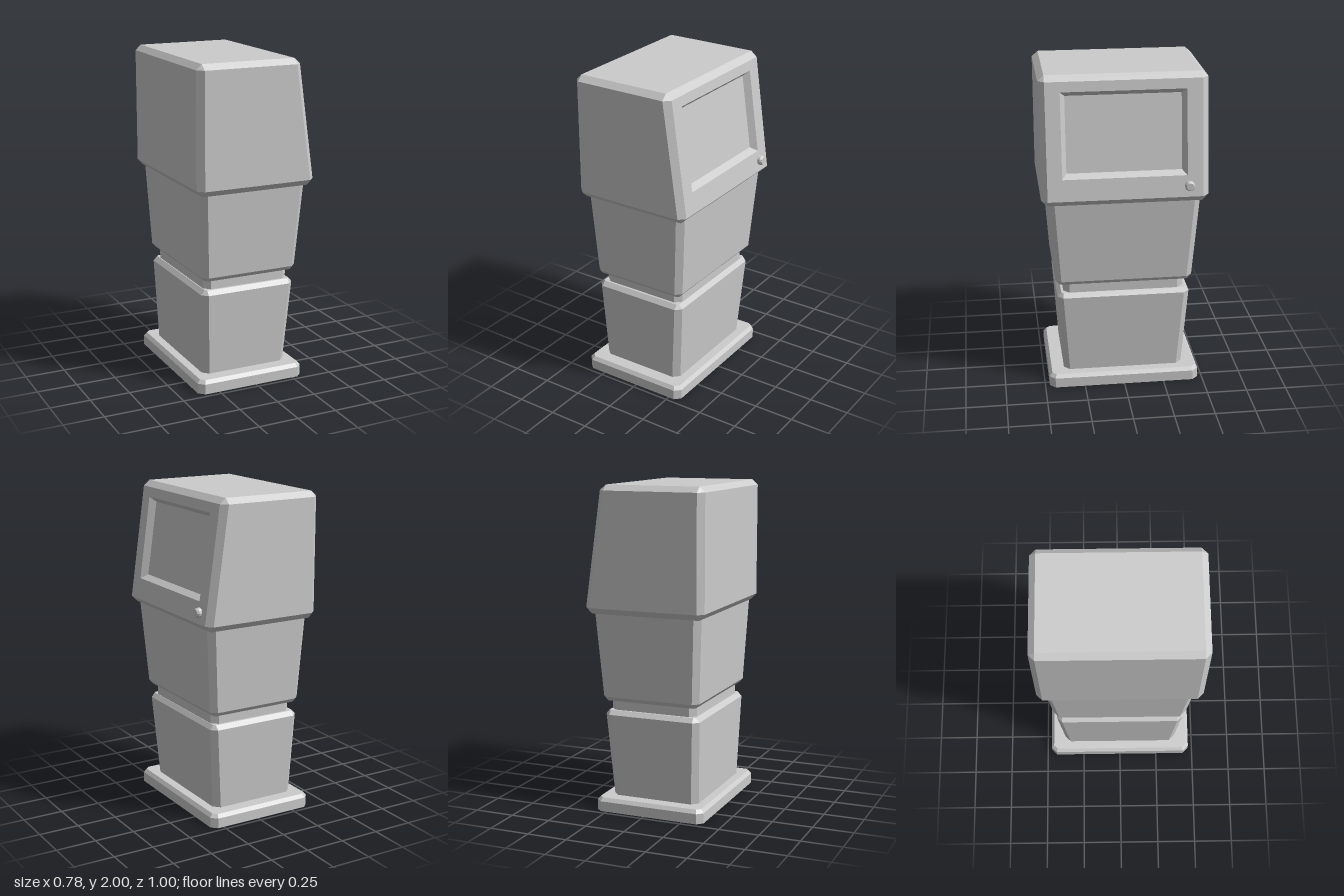
import * as THREE from 'three';

const material = new THREE.MeshStandardMaterial({ color: 0xcccccc, flatShading: true, side: THREE.DoubleSide });

// Chamfered rectangle at height y; first edge is the +x side
function ring(y, x0, x1, z, c) {
  return [
    [x1, z - c], [x1, c - z], [x1 - c, -z], [x0 + c, -z],
    [x0, c - z], [x0, z - c], [x0 + c, z], [x1 - c, z],
  ].map(([x, zz]) => new THREE.Vector3(x, y, zz));
}

// Quads joining consecutive loops of equal length; skip(level, edge) leaves a gap
function loft(loops, { cap = false, skip = () => false } = {}) {
  const points = [];
  for (let k = 0; k + 1 < loops.length; k++) {
    const a = loops[k], b = loops[k + 1], n = a.length;
    for (let i = 0; i < n; i++) {
      if (skip(k, i)) continue;
      const j = (i + 1) % n;
      points.push(a[i], a[j], b[j], a[i], b[j], b[i]);
    }
  }
  if (cap) {
    const top = loops[loops.length - 1];
    for (let i = 1; i + 1 < top.length; i++) points.push(top[0], top[i], top[i + 1]);
  }
  const geometry = new THREE.BufferGeometry().setFromPoints(points);
  geometry.computeVertexNormals();
  return geometry;
}

export function createModel() {
  const model = new THREE.Group();
  const add = (name, geometry, parent = model) => {
    const mesh = new THREE.Mesh(geometry, material);
    mesh.name = name;
    parent.add(mesh);
    return mesh;
  };

  // Open-bottomed plinth, closing in to the foot of the lower body
  const foot = ring(0.085, -0.31, 0.25, 0.376, 0.037);
  add('basePlinth', loft([
    ring(0, -0.38, 0.323, 0.472, 0.035),
    ring(0.063, -0.38, 0.323, 0.472, 0.035),
    ring(0.085, -0.362, 0.305, 0.454, 0.025),
    foot,
  ]));

  // Lower body flares upward and ends in a bevel
  const neckBottom = ring(0.627, -0.296, 0.262, 0.372, 0.037);
  const neckTop = ring(0.688, -0.296, 0.262, 0.372, 0.037);
  add('lowerBody', loft([
    foot,
    ring(0.6, -0.327, 0.287, 0.41, 0.035),
    ring(0.627, -0.302, 0.265, 0.386, 0.012),
    neckBottom,
  ]));

  add('neck', loft([neckBottom, neckTop]));

  // Upper body
  const bodyTop = ring(1.23, -0.355, 0.333, 0.458, 0.037);
  add('upperBody', loft([
    neckTop,
    ring(0.688, -0.306, 0.272, 0.398, 0.012),
    ring(0.715, -0.33, 0.296, 0.422, 0.035),
    bodyTop,
  ]));

  // Head with a sloping +x face left open for the window
  const head = new THREE.Group();
  head.name = 'head';
  model.add(head);
  const low = ring(1.268, -0.39, 0.372, 0.5, 0.037);
  const high = ring(1.967, -0.39, 0.272, 0.5, 0.037);
  add('headShell', loft([
    bodyTop,
    ring(1.23, -0.355, 0.333, 0.463, 0),
    low,
    high,
    ring(2, -0.355, 0.233, 0.463, 0),
  ], { cap: true, skip: (level, edge) => level === 2 && edge === 0 }), head);

  // Sloping face, recess walls and screen panel
  const slopeX = (y) => 0.372 - (y - 1.268) * (0.1 / 0.699);
  const rect = (y0, y1, z0, z1, depth) => [[y0, z1], [y0, z0], [y1, z0], [y1, z1]]
    .map(([y, z]) => new THREE.Vector3(slopeX(y) - depth, y, z));
  const opening = rect(1.398, 1.907, -0.37, 0.374, 0);
  const panel = rect(1.423, 1.877, -0.342, 0.346, 0.038);
  add('screenSurround', loft([[low[0], low[1], high[1], high[0]], opening]), head);
  add('screenRecess', loft([opening, panel]), head);
  add('screen', loft([panel], { cap: true }), head);

  // Small round button beside the screen
  const profile = [[0.03, -0.012], [0.03, 0.015], [0.022, 0.027], [0, 0.027]]
    .map(([r, h]) => new THREE.Vector2(r, h));
  const button = add('button', new THREE.LatheGeometry(profile, 12), head);
  button.rotation.z = -Math.PI / 2;
  button.position.set(slopeX(1.335), 1.335, -0.382);

  return model;
}
